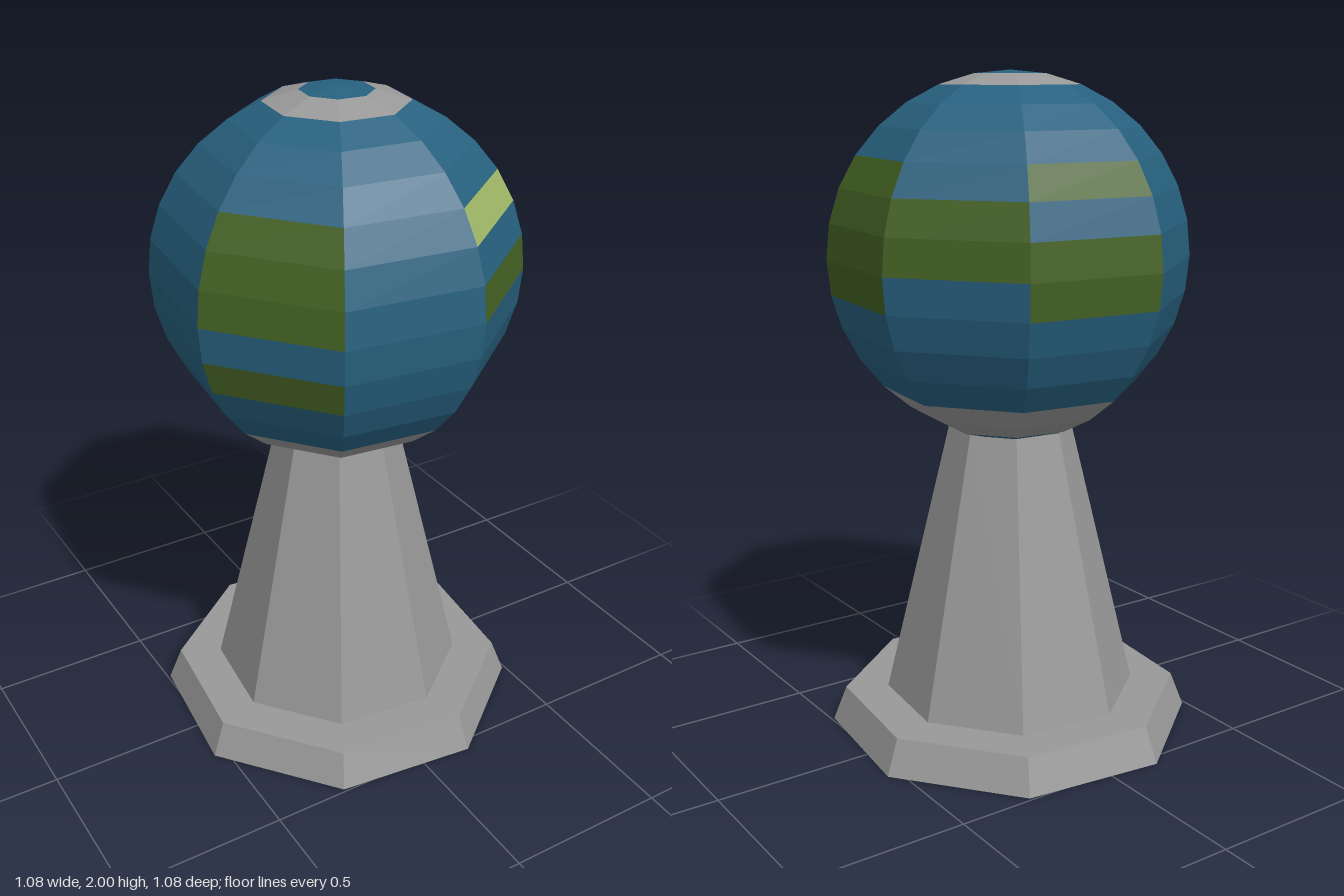
import * as THREE from 'three';

const deg = Math.PI / 180;
const SIDES = 8, ROWS = 16;
const TURN = 74; // angle of the first corner, from +x towards +z
const RADIUS = 0.541, CENTRE = 1.459;

function flat(name, color) {
  const m = new THREE.MeshStandardMaterial({ color, flatShading: true, side: THREE.DoubleSide });
  m.name = name;
  return m;
}

// Land pattern of each globe facet, rows 5 to 9 counted from the top:
// s = sea, l = land, p = pale land
const FACETS = ['sssss', 'lllsl', 'sssss', 'sssss', 'lslls', 'sllss', 'lllls', 'pslss'];

function cellColour(row, facet) {
  if (row === 1 || row === 12 || row === 13) return 'g'; // polar rings
  if (row >= 5 && row <= 9) return FACETS[facet][row - 5];
  return 's';
}

function globePoint(row, corner) {
  const polar = row * Math.PI / ROWS;
  const a = (TURN + corner * 360 / SIDES) * deg;
  const r = RADIUS * Math.sin(polar);
  return [r * Math.cos(a), CENTRE + RADIUS * Math.cos(polar), r * Math.sin(a)];
}

// All globe cells of one colour
function globeGeometry(key) {
  const pos = [];
  for (let i = 0; i < ROWS; i++) {
    for (let k = 0; k < SIDES; k++) {
      if (cellColour(i, k) !== key) continue;
      const a = globePoint(i, k), b = globePoint(i, k + 1);
      const c = globePoint(i + 1, k + 1), d = globePoint(i + 1, k);
      if (i > 0) pos.push(...a, ...b, ...c);
      if (i < ROWS - 1) pos.push(...a, ...c, ...d);
      else continue;
      if (i === 0) continue;
    }
  }
  const g = new THREE.BufferGeometry();
  g.setAttribute('position', new THREE.Float32BufferAttribute(pos, 3));
  g.computeVertexNormals();
  return g;
}

// Open eight-sided shell from a profile of [radius, height]
function shell(profile) {
  const pts = profile.map(([r, y]) => new THREE.Vector2(r, y));
  return new THREE.LatheGeometry(pts, SIDES, (90 - TURN) * deg, Math.PI * 2);
}

export function createModel() {
  const model = new THREE.Group();
  const stone = flat('stone grey', 0x999999);
  const sea = flat('sea blue', 0x27617f);
  const land = flat('land green', 0x446223);
  const pale = flat('pale land green', 0x9fb868);

  const add = (parent, name, geometry, material) => {
    const mesh = new THREE.Mesh(geometry, material);
    mesh.name = name;
    parent.add(mesh);
  };

  // Hollow pedestal
  add(model, 'base', shell([[0.561, 0], [0.52, 0.106], [0.388, 0.106]]), stone);
  add(model, 'column', shell([[0.388, 0.106], [0.187, 0.95]]), stone);

  // Globe, one mesh for each colour
  const globe = new THREE.Group();
  globe.name = 'globe';
  add(globe, 'sea', globeGeometry('s'), sea);
  add(globe, 'land', globeGeometry('l'), land);
  add(globe, 'paleLand', globeGeometry('p'), pale);
  add(globe, 'polarRings', globeGeometry('g'), stone);
  model.add(globe);

  return model;
}
